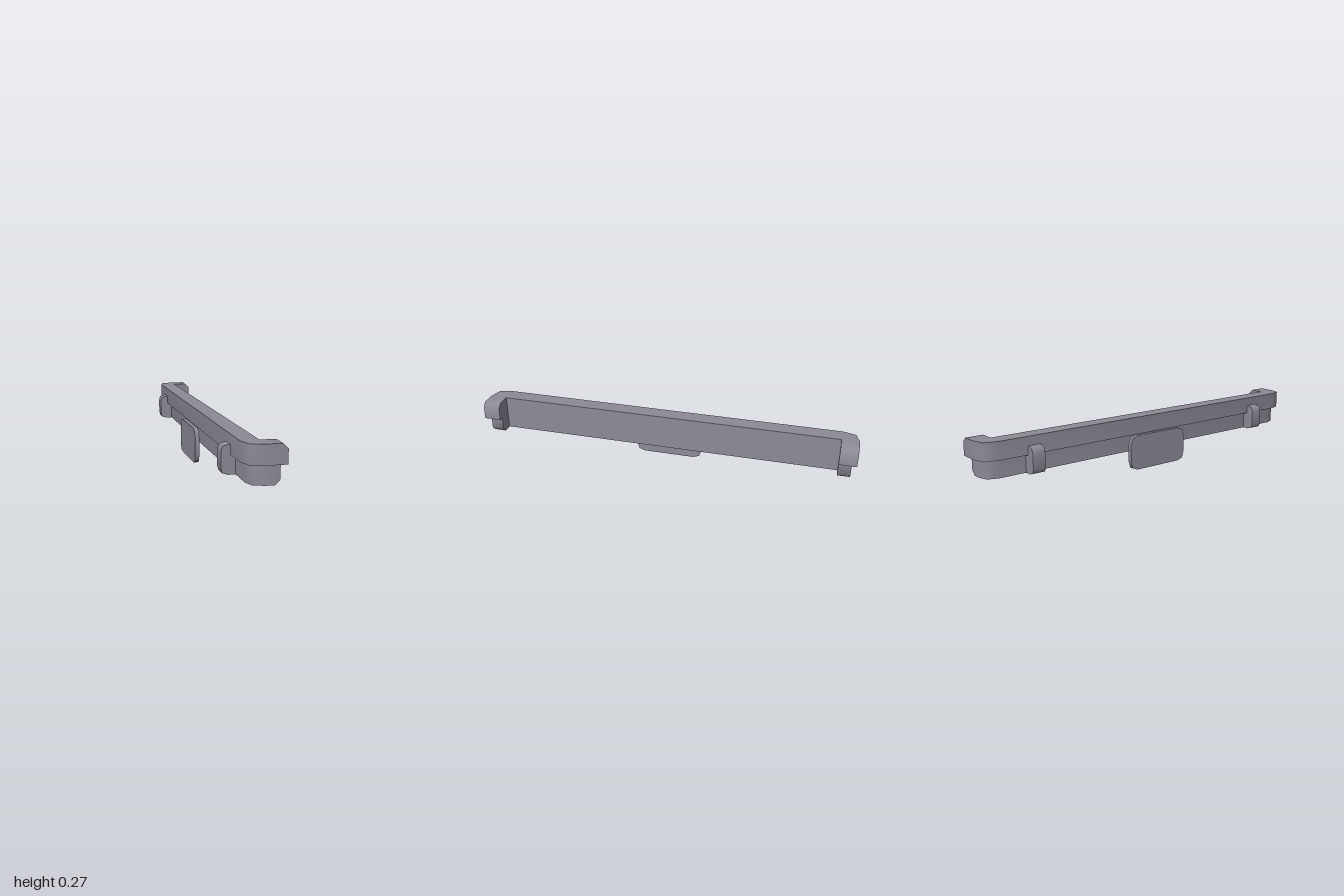
import * as THREE from 'three';
import { toCreasedNormals } from 'three/addons/utils/BufferGeometryUtils.js';

const grey = new THREE.MeshStandardMaterial({ color: 0x8d8a96 });
grey.name = 'bumper grey';

// Sections along one half: outer x, outer z, inner x, inner z, bottom y, top y
function barGeometry(half) {
  const mirrored = half.slice().reverse().map(([ox, oz, ix, iz, b, t]) => [ox, -oz, ix, -iz, b, t]);
  const sections = [...half, ...mirrored].map(([ox, oz, ix, iz, b, t]) => [
    new THREE.Vector3(ox, b, oz), new THREE.Vector3(ox, t, oz),
    new THREE.Vector3(ix, t, iz), new THREE.Vector3(ix, b, iz),
  ]);
  const points = [];
  const tri = (a, b, c) => {
    if (!a.equals(b) && !b.equals(c) && !a.equals(c)) points.push(a, b, c);
  };
  for (let i = 0; i < sections.length - 1; i++) {
    const s = sections[i], n = sections[i + 1];
    for (let k = 0; k < 4; k++) {
      const j = (k + 1) % 4;
      tri(s[k], s[j], n[j]);
      tri(s[k], n[j], n[k]);
    }
  }
  const first = sections[0], last = sections[sections.length - 1];
  tri(first[0], first[2], first[1]);
  tri(first[0], first[3], first[2]);
  tri(last[0], last[1], last[2]);
  tri(last[0], last[2], last[3]);
  return toCreasedNormals(new THREE.BufferGeometry().setFromPoints(points), 1.1);
}

function extrude(points, depth) {
  const shape = new THREE.Shape(points.map(([x, y]) => new THREE.Vector2(x, y)));
  const geometry = new THREE.ExtrudeGeometry(shape, { depth, bevelEnabled: false });
  geometry.translate(0, 0, -depth / 2);
  return toCreasedNormals(geometry, 1.1);
}

export function createModel() {
  const group = new THREE.Group();
  const add = (name, geometry) => {
    const mesh = new THREE.Mesh(geometry, grey);
    mesh.name = name;
    group.add(mesh);
    return mesh;
  };
  const inX = 0.015, inZ = 0.91;

  // Wide upper rail with returns at both ends, chamfered on top
  const low = 0.092, mid = 0.183, top = 0.273;
  add('upperRail', barGeometry([
    [0.111, 1, 0.111, inZ, mid, 0.25],
    [0.088, 1, 0.088, inZ, mid, top],
    [0.015, 1, inX, inZ, mid, top],
    [-0.05, 0.98, inX, inZ, mid, top],
    [-0.07, 0.915, inX, inZ, mid, top],
  ]));

  // Narrower lower rail, chamfered underneath
  add('lowerRail', barGeometry([
    [0.087, 0.975, 0.087, inZ, 0.115, mid],
    [0.064, 0.975, 0.064, inZ, low, mid],
    [0.025, 0.975, inX, inZ, low, mid],
    [-0.028, 0.958, inX, inZ, low, mid],
    [-0.045, 0.905, inX, inZ, low, mid],
  ]));

  // Two upright guards
  const guard = extrude([
    [-0.04, 0.092], [-0.08, 0.092], [-0.105, 0.1], [-0.112, 0.121],
    [-0.112, 0.196], [-0.105, 0.219], [-0.08, 0.227], [-0.06, 0.227], [-0.06, 0.19], [-0.04, 0.19],
  ], 0.066);
  for (const side of [1, -1]) {
    add(side > 0 ? 'frontGuard' : 'backGuard', guard).position.z = side * 0.733;
  }

  // Rounded number plate
  const quarter = [[0.18, 0.045], [0.17, 0.012], [0.138, 0]];
  const mirrorZ = (list) => list.slice().reverse().map(([z, y]) => [-z, y]);
  const mirrorY = (list) => list.slice().reverse().map(([z, y]) => [z, 0.182 - y]);
  const bottom = [...quarter, ...mirrorZ(quarter)];
  const plate = add('plate', extrude([...bottom, ...mirrorY(bottom)], 0.022));
  plate.rotation.y = Math.PI / 2;
  plate.position.x = -0.082;

  return group;
}
